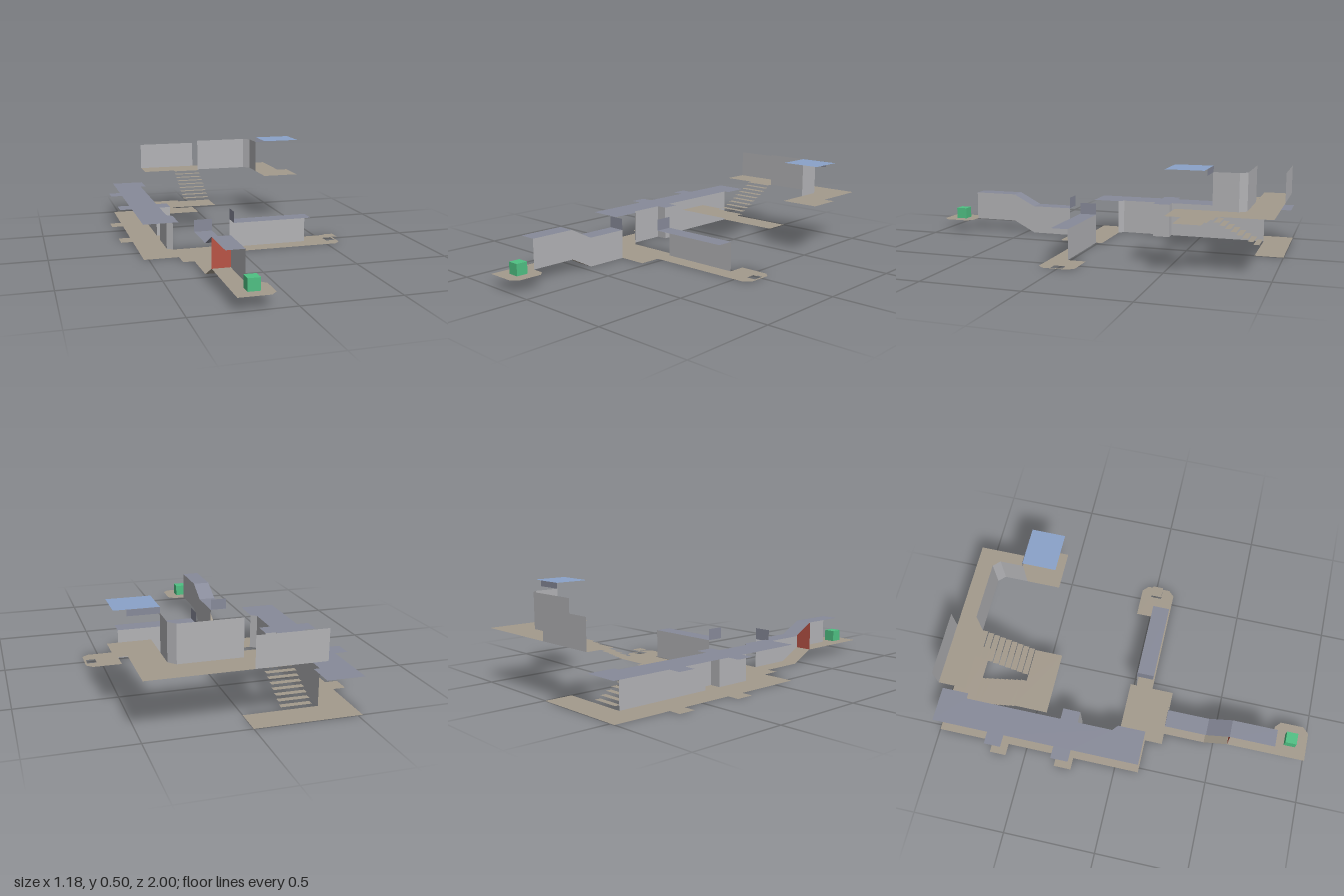
import * as THREE from 'three';

const paint = (name, color) => {
  const m = new THREE.MeshStandardMaterial({ color, side: THREE.DoubleSide });
  m.name = name;
  return m;
};

export function createModel() {
  const group = new THREE.Group();
  const floorMat = paint('stone floor', 0xa39a8c);
  const ceilMat = paint('slate ceiling', 0x878a99);
  const skyMat = paint('blue ceiling', 0x8aa2c9);
  const wallMat = paint('grey wall', 0xb2b2b5);
  const doorMat = paint('red door', 0xb85345);
  const boxMat = paint('green block', 0x4fc083);

  const add = (name, geo, mat) => {
    const mesh = new THREE.Mesh(geo, mat);
    mesh.name = name;
    group.add(mesh);
    return mesh;
  };

  // Flat horizontal slab from an outline of [x, z], with an optional hole
  const slab = (name, pts, y, mat, hole) => {
    const toV = ([x, z]) => new THREE.Vector2(x, -z);
    const shape = new THREE.Shape(pts.map(toV));
    if (hole) shape.holes.push(new THREE.Path(hole.map(toV)));
    const geo = new THREE.ShapeGeometry(shape);
    geo.rotateX(-Math.PI / 2);
    geo.translate(0, y, 0);
    add(name, geo, mat);
  };
  const rect = (x0, x1, z0, z1) => [[x0, z0], [x0, z1], [x1, z1], [x1, z0]];

  // Strip of flat quads between two paths of [x, y, z]
  const ribbon = (name, a, b, mat) => {
    const pos = [];
    for (let i = 0; i < a.length - 1; i++) {
      pos.push(...a[i], ...a[i + 1], ...b[i + 1], ...a[i], ...b[i + 1], ...b[i]);
    }
    const geo = new THREE.BufferGeometry();
    geo.setAttribute('position', new THREE.Float32BufferAttribute(pos, 3));
    geo.computeVertexNormals();
    add(name, geo, mat);
  };
  // Upright wall along a path of [x, z]
  const wall = (name, path, y0, y1, mat = wallMat) =>
    ribbon(name, path.map(([x, z]) => [x, y0, z]), path.map(([x, z]) => [x, y1, z]), mat);

  // Central room
  slab('centralRoomFloor', rect(-0.34, -0.035, -0.02, 0.225), 0, floorMat);

  // Long hall with side alcoves; the floor also runs below the upper gallery
  const hall = (endX) => [
    [-0.525, -1], [-0.525, -0.695], [-0.59, -0.695], [-0.59, -0.605], [-0.525, -0.605],
    [-0.525, -0.33], [-0.59, -0.33], [-0.59, -0.235], [-0.525, -0.235], [-0.525, 0.13],
    [-0.34, 0.13], [-0.34, -0.02], [-0.37, -0.045], [-0.37, -0.235], [-0.31, -0.235],
    [-0.31, -0.33], [-0.37, -0.33], [-0.37, -0.855], [endX, -0.855], [endX, -1],
  ];
  slab('hallFloor', hall(0), 0, floorMat);
  slab('hallCeiling', hall(-0.34), 0.187, ceilMat);
  wall('hallWall', hall(0).slice(11, 18), 0, 0.187);

  // East corridor and its end room
  slab('eastCorridorFloor', rect(-0.035, 0.4, 0.015, 0.107), 0, floorMat);
  slab('eastCorridorCeiling', rect(-0.035, 0.4, 0.015, 0.107), 0.157, ceilMat);
  wall('eastCorridorWall', [[-0.035, 0.015], [0.4, 0.015]], 0, 0.157);
  wall('eastLintel', [[-0.035, 0.015], [-0.035, 0.107]], 0.157, 0.218, ceilMat);
  const pit = rect(0.525, 0.575, -0.022, 0.038);
  slab('eastRoomFloor', [[0.4, -0.08], [0.4, 0.107], [0.555, 0.107], [0.586, 0.075],
    [0.586, -0.05], [0.555, -0.08]], 0, floorMat, pit);
  slab('eastRoomStep', rect(0.525, 0.586, -0.022, 0.038), 0.02, floorMat);

  // Front corridor that ramps up, as [z, y] steps
  const run = [[0.225, 0], [0.45, 0], [0.573, 0.064], [0.815, 0.064]];
  const path = (x, h) => run.map(([z, y]) => [x, y + h, z]);
  ribbon('frontCorridorFloor', path(-0.28, 0), path(-0.187, 0), floorMat);
  ribbon('frontCorridorCeiling', path(-0.28, 0.156), path(-0.187, 0.156), ceilMat);
  ribbon('frontCorridorWall', path(-0.187, 0), path(-0.187, 0.156), wallMat);
  wall('frontLintel', [[-0.28, 0.225], [-0.187, 0.225]], 0.157, 0.218, ceilMat);
  wall('door', [[-0.28, 0.575], [-0.187, 0.575]], 0.064, 0.217, doorMat);

  // Front end room with its block
  slab('frontRoomFloor', [[-0.28, 0.815], [-0.28, 1], [-0.125, 1], [-0.094, 0.968],
    [-0.094, 0.844], [-0.125, 0.815]], 0.064, floorMat);
  add('block', new THREE.BoxGeometry(0.061, 0.061, 0.061), boxMat).position.set(-0.186, 0.0945, 0.908);

  // Two open flights of treads with a landing between them
  const depth = 0.0311, rise = 0.28 / 18;
  for (let i = 0; i < 8; i++) {
    const z = -0.855 + i * depth;
    slab('lowerTread', rect(-0.34, -0.187, z, z + depth), (i + 1) * rise, floorMat);
  }
  for (let i = 0; i < 9; i++) {
    const z = -0.575 - i * depth;
    slab('upperTread', rect(-0.155, 0, z - depth, z), 0.14 + (i + 1) * rise, floorMat);
  }
  slab('landing', [[-0.34, -0.606], [-0.34, -0.42], [0, -0.42], [0, -0.575],
    [-0.187, -0.575], [-0.187, -0.606]], 0.14, floorMat);

  // Upper gallery
  slab('galleryFloor', [[-0.34, -1], [-0.34, -0.855], [0.307, -0.855], [0.34, -0.82],
    [0.34, -0.7], [0.49, -0.7], [0.49, -1]], 0.28, floorMat);
  wall('galleryBackWall', [[-0.34, -1], [0, -1]], 0.28, 0.432);
  wall('galleryInnerWall', [[0, -0.855], [0.307, -0.855], [0.34, -0.82], [0.34, -0.695]], 0.28, 0.465);

  // Exit bay
  slab('exitFloor', rect(0.34, 0.55, -0.7, -0.513), 0.28, floorMat);
  slab('exitCeiling', rect(0.34, 0.55, -0.695, -0.513), 0.495, skyMat);
  wall('exitLintel', [[0.34, -0.697], [0.49, -0.697]], 0.465, 0.495, ceilMat);

  return group;
}
